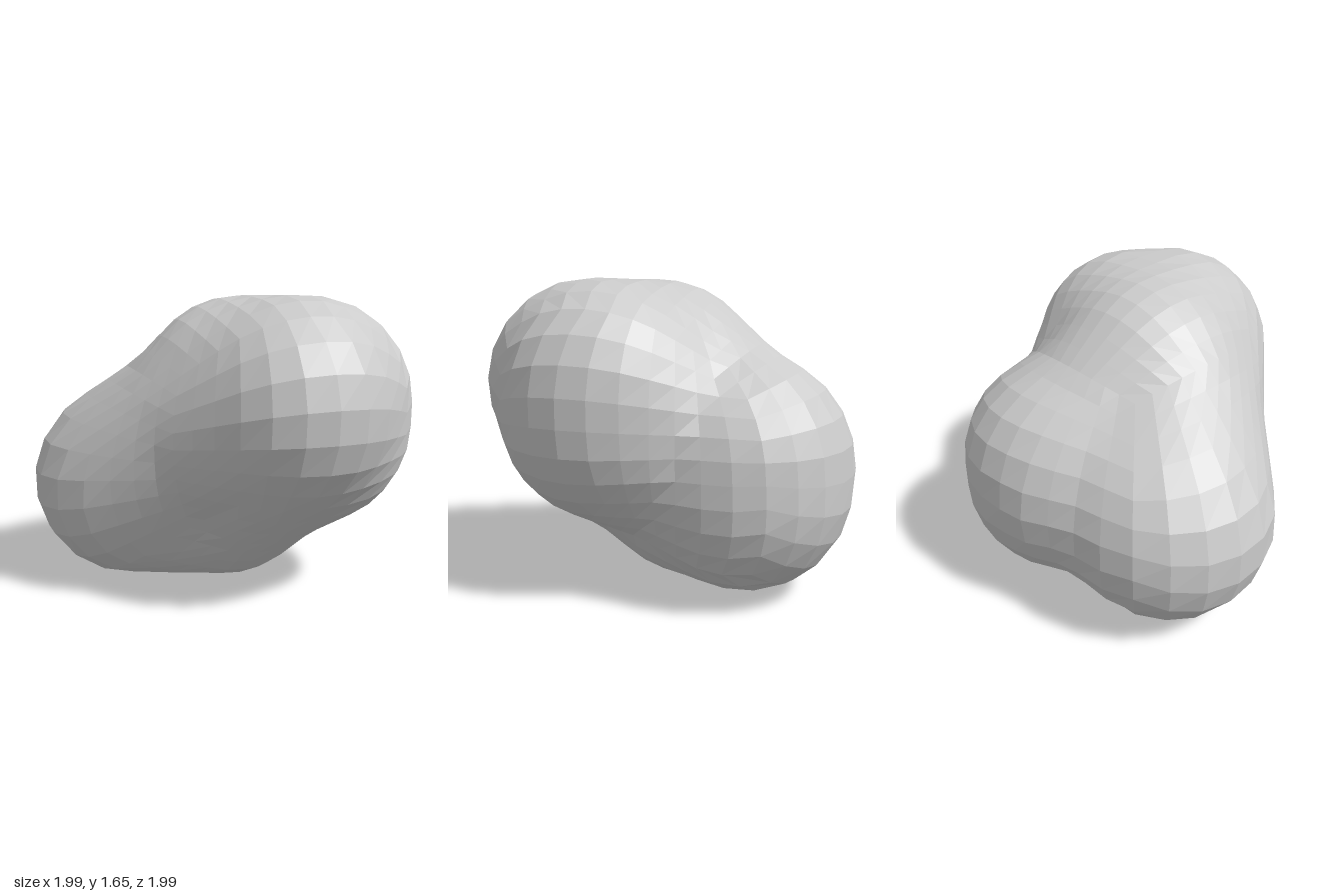
import * as THREE from 'three';

// Centres of the lobes; the blob is this skeleton thickened by RADIUS
const RADIUS = 0.563;
const v = (x, y, z) => new THREE.Vector3(x, y, z);
const sideLobe = v(-0.437, 0.57, -0.285);
const backUpper = v(0.24, 0.71, -0.435);
const backLower = v(0.25, 0.58, -0.435);
const backInner = v(0.1, 0.65, -0.43);
const frontLobe = v(0.27, 1.09, 0.435);
const leftUpper = v(0.435, 1.08, 0.27);
const leftLower = v(0.435, 0.95, 0.27);
const crown = v(0.1, 1.08, 0.1);
const base = v(0.08, 0.563, -0.1);

// Sunken points between the lobes, forming the shallow valleys
const sideValley = v(-0.09, 0.86, 0.01);
const backValley = v(-0.1, 0.63, -0.325);
const topValley = v(0.15, 0.825, -0.2);
const leftValley = v(0.235, 0.78, -0.1);
const frontValley = v(0.2, 0.8, 0.13);

// Triangles spanning the lobes and valleys
const WEBS = [
  [sideLobe, backValley, sideValley],
  [sideLobe, backValley, base],
  [sideLobe, sideValley, base],
  [backValley, backInner, topValley],
  [backValley, topValley, sideValley],
  [backValley, backInner, base],
  [backInner, backUpper, topValley],
  [backInner, backUpper, backLower],
  [backInner, backLower, base],
  [sideValley, topValley, crown],
  [sideValley, crown, frontLobe],
  [sideValley, frontValley, frontLobe],
  [sideValley, frontValley, base],
  [frontValley, frontLobe, leftLower],
  [frontValley, leftLower, leftValley],
  [frontValley, leftValley, base],
  [frontValley, frontLobe, base],
  [frontLobe, leftUpper, crown],
  [frontLobe, leftUpper, leftLower],
  [leftValley, backUpper, topValley],
  [leftValley, topValley, crown],
  [leftValley, crown, leftUpper],
  [leftValley, leftUpper, leftLower],
  [leftValley, base, backLower],
  [leftValley, backLower, backUpper],
];

// Evenly spaced points over every triangle
function skeletonPoints(n = 8) {
  const points = [];
  for (const [a, b, c] of WEBS) {
    for (let i = 0; i <= n; i++) {
      for (let j = 0; j <= n - i; j++) {
        points.push(v(0, 0, 0)
          .addScaledVector(a, i / n)
          .addScaledVector(b, j / n)
          .addScaledVector(c, (n - i - j) / n));
      }
    }
  }
  return points;
}

// Farthest exit of a ray through the spheres around the skeleton
function reach(origin, dir, points) {
  let far = 0;
  const d = v(0, 0, 0);
  for (const p of points) {
    d.subVectors(p, origin);
    const along = d.dot(dir);
    const disc = RADIUS * RADIUS - d.lengthSq() + along * along;
    if (disc > 0) far = Math.max(far, along + Math.sqrt(disc));
  }
  return far;
}

export function createModel() {
  const group = new THREE.Group();
  const points = skeletonPoints();
  const origin = v(0.1, 0.83, 0);

  // Cube grid pushed out to the blob's surface
  const geometry = new THREE.BoxGeometry(2, 2, 2, 10, 10, 10);
  const pos = geometry.attributes.position;
  const dir = v(0, 0, 0);
  for (let i = 0; i < pos.count; i++) {
    dir.fromBufferAttribute(pos, i);
    // even out the angles between grid lines
    dir.set(...dir.toArray().map((c) => Math.tan(c * Math.PI / 4))).normalize();
    const t = reach(origin, dir, points);
    pos.setXYZ(i, origin.x + dir.x * t, origin.y + dir.y * t, origin.z + dir.z * t);
  }
  geometry.computeVertexNormals();

  const blob = new THREE.Mesh(
    geometry,
    new THREE.MeshStandardMaterial({ color: 0xcccccc, flatShading: true }),
  );
  blob.name = 'lumpyBody';
  group.add(blob);
  return group;
}
